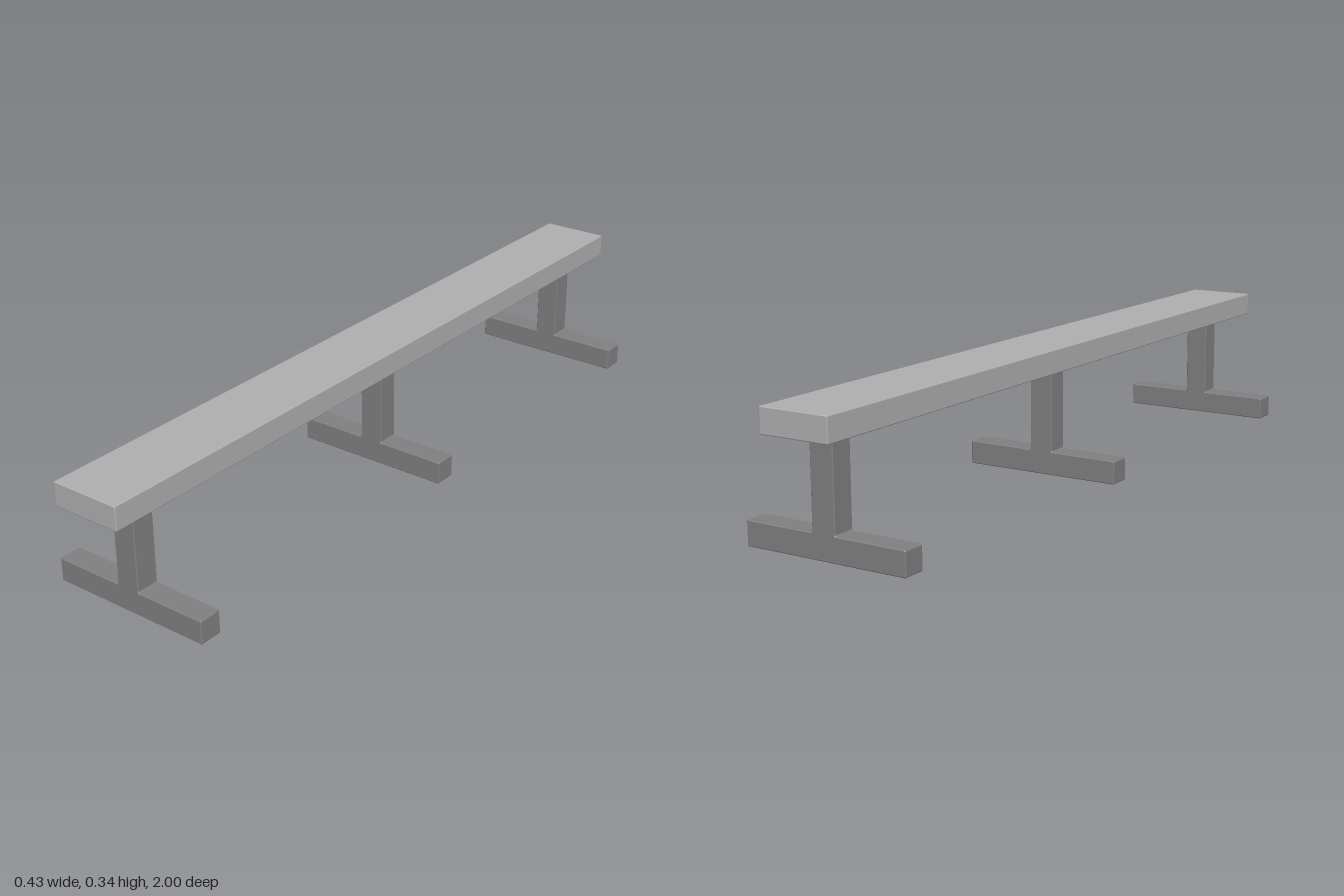
import * as THREE from 'three';
import { RoundedBoxGeometry } from 'three/addons/geometries/RoundedBoxGeometry.js';

const SEAT_BOTTOM = 0.283, SEAT_TOP = 0.344;
const LEG_DEPTH = 0.06, FOOT_HEIGHT = 0.06, FOOT_HALF = 0.2145, POST_HALF = 0.031;
const BEVEL = 0.002;

// Outline with every corner slightly rounded
function roundedOutline(corners, r) {
  const shape = new THREE.Shape();
  const pts = corners.map(([x, y]) => new THREE.Vector2(x, y));
  pts.forEach((p, i) => {
    const prev = pts[(i + pts.length - 1) % pts.length];
    const next = pts[(i + 1) % pts.length];
    const a = prev.clone().sub(p).setLength(r).add(p);
    const b = next.clone().sub(p).setLength(r).add(p);
    if (i === 0) shape.moveTo(a.x, a.y);
    else shape.lineTo(a.x, a.y);
    shape.quadraticCurveTo(p.x, p.y, b.x, b.y);
  });
  shape.closePath();
  return shape;
}

export function createModel() {
  const group = new THREE.Group();
  group.name = 'bench';
  const seatMaterial = new THREE.MeshStandardMaterial({ color: 0xafafaf });
  const legMaterial = new THREE.MeshStandardMaterial({ color: 0x808080 });

  // Long plank with softened edges
  const seat = new THREE.Mesh(
    new RoundedBoxGeometry(0.181, SEAT_TOP - SEAT_BOTTOM, 2, 2, 0.003), seatMaterial);
  seat.name = 'seat';
  seat.position.set(-0.0015, (SEAT_BOTTOM + SEAT_TOP) / 2, 0);
  group.add(seat);

  // Inverted-T support: post and foot in one piece, lightly bevelled
  const legShape = roundedOutline([
    [-FOOT_HALF, 0], [FOOT_HALF, 0], [FOOT_HALF, FOOT_HEIGHT],
    [POST_HALF, FOOT_HEIGHT], [POST_HALF, SEAT_BOTTOM + 0.006],
    [-POST_HALF, SEAT_BOTTOM + 0.006], [-POST_HALF, FOOT_HEIGHT], [-FOOT_HALF, FOOT_HEIGHT],
  ], 0.004);
  const legGeometry = new THREE.ExtrudeGeometry(legShape, {
    depth: LEG_DEPTH - 2 * BEVEL, curveSegments: 3,
    bevelThickness: BEVEL, bevelSize: BEVEL, bevelOffset: -BEVEL, bevelSegments: 1,
  }).translate(0, 0, BEVEL - LEG_DEPTH / 2);

  // Three supports along the plank
  const legs = { frontLeg: 0.868, middleLeg: -0.017, backLeg: -0.883 };
  for (const [name, z] of Object.entries(legs)) {
    const leg = new THREE.Mesh(legGeometry, legMaterial);
    leg.name = name;
    leg.position.z = z;
    group.add(leg);
  }
  return group;
}
